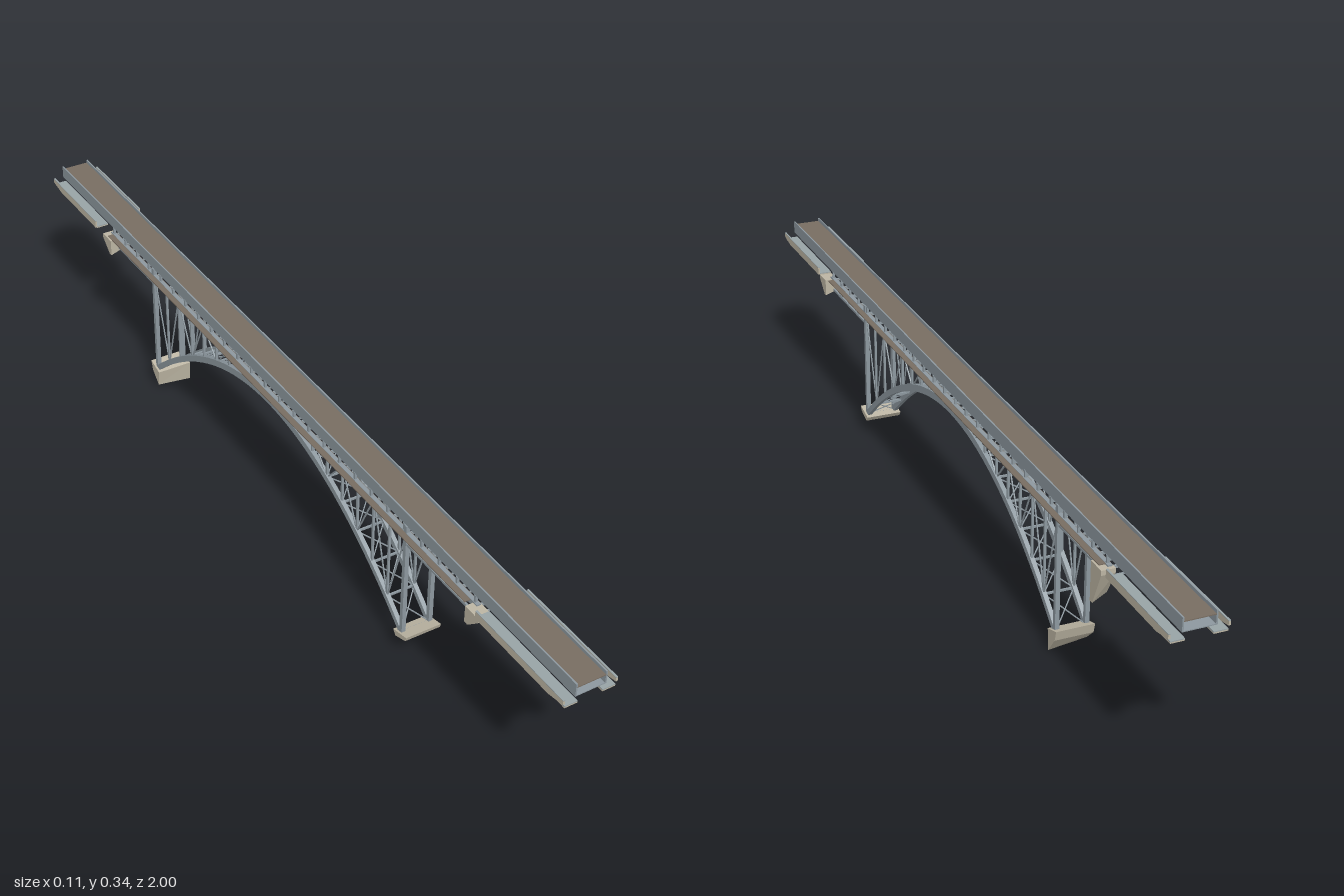
import * as THREE from 'three';

const mat = (name, color, side = THREE.FrontSide) => {
  const m = new THREE.MeshStandardMaterial({ color, side });
  m.name = name;
  return m;
};

export function createModel() {
  const steel = mat('steel grey', 0x8d989f);
  const road = mat('road brown', 0x786d61);
  const concrete = mat('concrete beige', 0xbcb5a3);
  const walk = mat('sidewalk grey', 0x98a3a6);

  const root = new THREE.Group();
  root.name = 'archBridge';
  const group = (name) => {
    const g = new THREE.Group();
    g.name = name;
    root.add(g);
    return g;
  };
  const add = (parent, name, geo, m) => {
    const mesh = new THREE.Mesh(geo, m);
    mesh.name = name;
    parent.add(mesh);
    return mesh;
  };
  // axis-aligned block given by its extents
  const block = (parent, name, m, x0, x1, y0, y1, z0, z1) => {
    const g = new THREE.BoxGeometry(x1 - x0, y1 - y0, z1 - z0);
    g.translate((x0 + x1) / 2, (y0 + y1) / 2, (z0 + z1) / 2);
    return add(parent, name, g, m);
  };
  // straight square bar between two points
  const bar = (parent, name, a, b, w, m = steel) => {
    const p = new THREE.Vector3(...a), q = new THREE.Vector3(...b);
    const mesh = add(parent, name, new THREE.BoxGeometry(w, w, p.distanceTo(q)), m);
    mesh.position.copy(p).add(q).multiplyScalar(0.5);
    mesh.lookAt(q);
  };
  // side profile of [z, y] points extruded from x0 to x1
  const prism = (pts, x0, x1) => {
    const shape = new THREE.Shape(pts.map(([z, y]) => new THREE.Vector2(z, y)));
    const g = new THREE.ExtrudeGeometry(shape, { depth: x1 - x0, bevelEnabled: false });
    g.rotateY(-Math.PI / 2);
    g.translate(x1, 0, 0);
    return g;
  };

  const X = 0.031, Z0 = 0.488, Z1 = -0.532, MID = (Z0 + Z1) / 2, HALF = (Z0 - Z1) / 2;
  const archY = (z) => 0.279 - 0.232 * ((z - MID) / HALF) ** 2;
  const TOP = 0.296;

  // road deck: upper surface, underside plate and side walls
  const deck = group('deck');
  block(deck, 'roadway', road, -0.03, 0.03, 0.332, 0.334, -1, 1);
  block(deck, 'deckUnderside', steel, -0.03, 0.03, 0.313, 0.315, -1, 1);
  for (const s of [-1, 1]) {
    block(deck, 'sideWall', steel, s * X - 0.0015, s * X + 0.0015, 0.313, 0.341, -1, 1);
    // walkway and stringer beneath the main span
    const xa = s > 0 ? 0.025 : -0.048;
    block(deck, 'walkway', road, xa, xa + 0.023, 0.296, 0.298, -0.73, 0.7);
    block(deck, 'stringer', steel, s * X - 0.0045, s * X + 0.0045, 0.288, 0.299, -0.74, 0.72);
  }

  // end sections: sidewalk with a parapet and a tapered concrete edge
  const ends = group('endSections');
  for (const [e, inner] of [[1, 0.745], [-1, 0.775]]) {
    for (const s of [-1, 1]) {
      const [a, b] = s > 0 ? [0.026, 0.053] : [-0.053, -0.026];
      const [c, d] = s > 0 ? [0.053, 0.057] : [-0.057, -0.053];
      const zs = [e * inner, e].sort((p, q) => p - q);
      block(ends, 'sidewalk', walk, a, b, 0.299, 0.301, ...zs);
      const pts = [[inner, 0.314], [inner, 0.298], [0.96, 0.298], [1, 0.306], [1, 0.314]]
        .map(([z, y]) => [z * e, y]);
      add(ends, 'concreteParapet', prism(pts, c, d), concrete);
      block(ends, 'parapetCap', walk, c, d, 0.314, 0.3155, ...zs);
      block(ends, 'sidewalkBase', concrete, a, b, 0.2965, 0.299, ...zs);
    }
  }

  // abutment wedges under the approach ends, one deeper than the rest
  const abutments = group('abutments');
  for (const e of [-1, 1]) for (const s of [-1, 1]) {
    const deep = e < 0 && s > 0;
    const low = deep ? 0.216 : 0.259, lift = deep ? 0.016 : 0.01;
    const pts = [[0.708, 0.296], [0.708, low], [0.718, low], [0.748, 0.286], [0.748, 0.296]]
      .map(([z, y]) => [z * e, y]);
    const g = s > 0 ? prism(pts, 0.024, 0.052) : prism(pts, -0.052, -0.024);
    const p = g.attributes.position;
    for (let i = 0; i < p.count; i++) {
      if (p.getY(i) < low + 0.001 && Math.abs(p.getX(i)) < 0.03) p.setY(i, low + lift);
    }
    g.computeVertexNormals();
    add(abutments, 'abutment', g, concrete);
  }

  // arch ribs with main columns
  const arch = group('arch');
  const upper = [], lower = [];
  for (let i = 0; i <= 36; i++) {
    const z = Z1 + (Z0 - Z1) * i / 36;
    upper.push([z, archY(z) + 0.008]);
    lower.unshift([z, archY(z) - 0.008]);
  }
  for (const s of [-1, 1]) {
    add(arch, 'archRib', prism([...upper, ...lower], s * X - 0.0045, s * X + 0.0045), steel);
    for (const z of [Z0, Z1]) {
      block(arch, 'mainColumn', steel, s * X - 0.0045, s * X + 0.0045, 0.045, 0.314, z - 0.0045, z + 0.0045);
    }
  }

  // spandrel verticals, zigzag diagonals, cross struts and lateral bracing
  const spandrel = group('spandrelBracing');
  const N = 18, node = (i) => Z0 + (Z1 - Z0) * i / N;
  for (let i = 0; i <= N; i++) {
    const z = node(i), y = archY(z);
    bar(spandrel, 'crossStrut', [-X, y, z], [X, y, z], 0.004);
    bar(spandrel, 'floorBeam', [-X, 0.291, z], [X, 0.291, z], 0.005);
    for (const s of [-1, 1]) {
      if (i > 0 && i < N && y < 0.272) bar(spandrel, 'vertical', [s * X, y, z], [s * X, TOP, z], 0.0045);
      if (i % 2 === 1) {
        for (const k of [i - 1, i + 1]) {
          bar(spandrel, 'diagonal', [s * X, y, z], [s * X, TOP, node(k)], 0.0025);
        }
      }
      if (i < N) {
        const z2 = node(i + 1);
        bar(spandrel, 'lateralBrace', [s * X, y, z], [-s * X, archY(z2), z2], 0.002);
      }
    }
  }

  // short posts carrying the deck above the stringers
  const posts = group('deckPosts');
  for (let i = 0; i <= 25; i++) {
    const z = 0.71 - i * 1.44 / 25;
    for (const s of [-1, 1]) bar(posts, 'deckPost', [s * X, 0.297, z], [s * X, 0.314, z], 0.005);
  }

  // approach trusses between the main columns and the abutments
  const trusses = group('approachTrusses');
  for (const [za, zb, low] of [[Z0, 0.715, 0.27], [Z1, -0.735, 0.274]]) {
    const n = 4, step = (zb - za) / n;
    for (const s of [-1, 1]) {
      bar(trusses, 'bottomChord', [s * X, low, za], [s * X, low, zb], 0.005);
      for (let i = 0; i < n; i++) {
        const z = za + step * i;
        bar(trusses, 'trussPost', [s * X, low, z + step], [s * X, TOP, z + step], 0.004);
        const [ya, yb] = i % 2 ? [low, TOP] : [TOP, low];
        bar(trusses, 'trussDiagonal', [s * X, ya, z], [s * X, yb, z + step], 0.0025);
      }
    }
    for (let i = 1; i <= n; i++) {
      const z = za + step * i;
      bar(trusses, 'trussCrossBeam', [-X, low, z], [X, low, z], 0.003);
      bar(trusses, 'floorBeam', [-X, 0.291, z], [X, 0.291, z], 0.005);
    }
  }

  // footings below the arch springings
  const footings = group('footings');
  add(footings, 'frontFooting',
    prism([[0.515, 0.056], [0.47, 0.045], [0.478, 0.034], [0.512, 0.046]].reverse(), -0.04, 0.04), concrete);
  const back = prism([[-0.515, 0.046], [-0.552, 0.058], [-0.546, 0.036], [-0.519, 0.01]], -0.04, 0.04);
  const bp = back.attributes.position;
  for (let i = 0; i < bp.count; i++) {
    if (bp.getY(i) < 0.02 && bp.getX(i) > 0) bp.setY(i, 0);
  }
  back.computeVertexNormals();
  add(footings, 'backFooting', back, concrete);

  return root;
}
